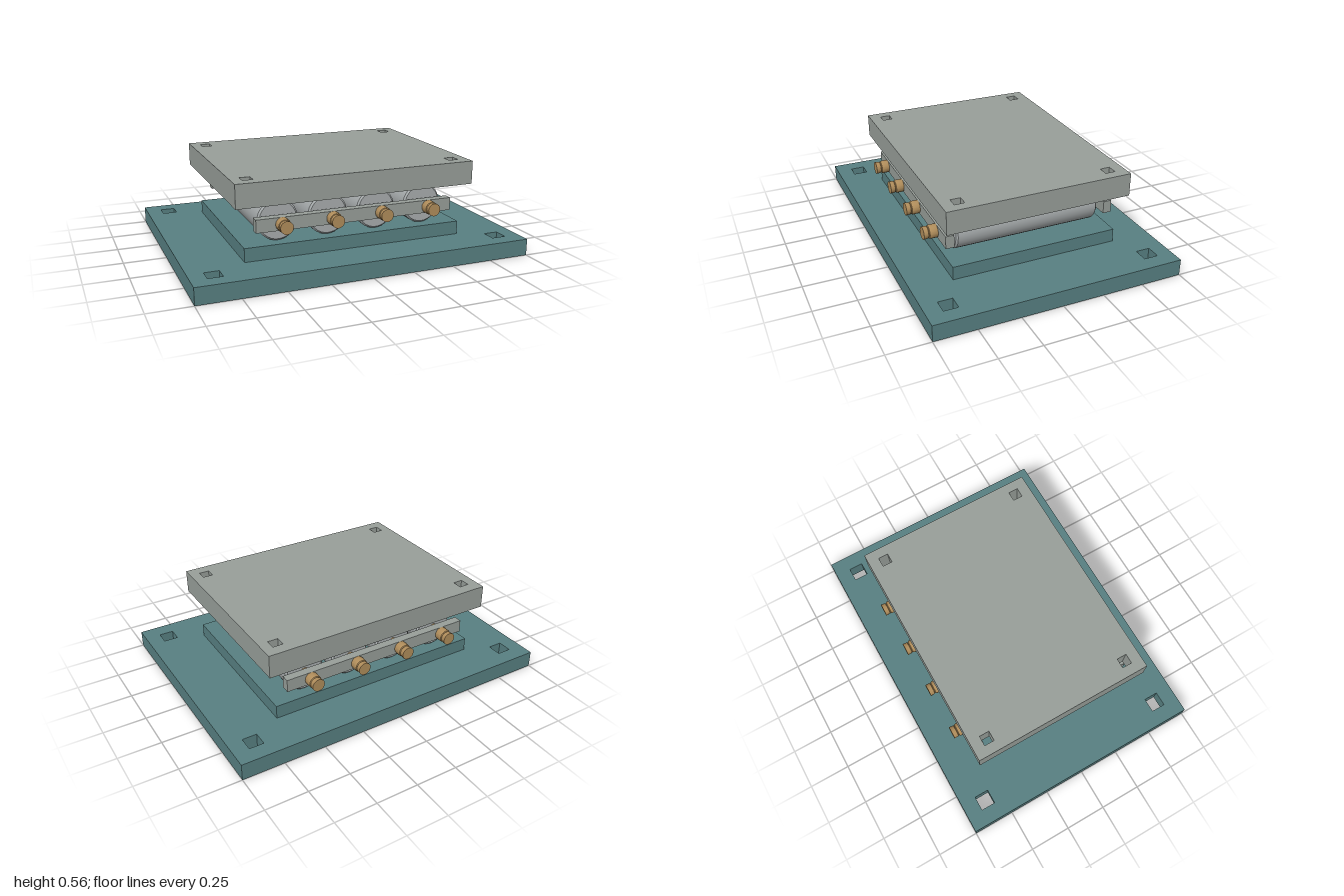
import * as THREE from 'three';
import { toCreasedNormals } from 'three/addons/utils/BufferGeometryUtils.js';

const paint = (color) => new THREE.MeshStandardMaterial({ color });

// Horizontal plate with four square corner holes, rising from y
function plate(name, w, d, h, y, hx, hz, size, material) {
  const rect = (path, cx, cy, a, b) => {
    path.moveTo(cx - a, cy - b);
    path.lineTo(cx + a, cy - b);
    path.lineTo(cx + a, cy + b);
    path.lineTo(cx - a, cy + b);
    path.closePath();
    return path;
  };
  const shape = rect(new THREE.Shape(), 0, 0, w / 2, d / 2);
  for (const sx of [-1, 1]) for (const sz of [-1, 1]) {
    shape.holes.push(rect(new THREE.Path(), sx * hx, sz * hz, size / 2, size / 2));
  }
  const geo = new THREE.ExtrudeGeometry(shape, { depth: h, bevelEnabled: false });
  geo.rotateX(-Math.PI / 2);
  const mesh = new THREE.Mesh(geo, material);
  mesh.name = name;
  mesh.position.y = y;
  return mesh;
}

function box(name, w, h, d, y, z, material) {
  const mesh = new THREE.Mesh(new THREE.BoxGeometry(w, h, d), material);
  mesh.name = name;
  mesh.position.set(0, y, z);
  return mesh;
}

// Turned part along +z from [radius, z] points
function turned(name, points, sides, material) {
  const lathe = new THREE.LatheGeometry(points.map(([r, z]) => new THREE.Vector2(r, z)), sides);
  lathe.rotateX(Math.PI / 2);
  const mesh = new THREE.Mesh(toCreasedNormals(lathe, 0.5), material);
  mesh.name = name;
  return mesh;
}

export function createModel() {
  const model = new THREE.Group();
  model.name = 'rollerBearing';
  const teal = paint(0x588082);
  const grey = paint(0x989f9a);
  const steel = paint(0xa8adae);
  const brass = paint(0xb08d5b);

  // Base with raised pad, and the carried plate
  model.add(plate('basePlate', 2, 1.5, 0.1, 0, 0.865, 0.612, 0.086, teal));
  model.add(box('rollerPad', 1.33, 0.08, 1.01, 0.14, 0, teal));
  model.add(plate('topPlate', 1.44, 1.11, 0.138, 0.42, 0.63, 0.457, 0.06, grey));

  // Side bars linking the axles
  for (const s of [-1, 1]) {
    model.add(box(s > 0 ? 'frontSideBar' : 'backSideBar', 1.2, 0.076, 0.05, 0.3, s * 0.493, grey));
  }

  // Rollers with axle ends and turned nuts
  const rollerProfile = [[0, -0.443], [0.11, -0.443], [0.12, -0.433], [0.12, 0.433], [0.11, 0.443], [0, 0.443]];
  const nutProfile = [[0, 0.515], [0.037, 0.515], [0.04, 0.522], [0.04, 0.558], [0.037, 0.565],
    [0.031, 0.568], [0.036, 0.573], [0.038, 0.6], [0, 0.6]];
  for (const x of [-0.45, -0.15, 0.15, 0.45]) {
    const unit = new THREE.Group();
    unit.name = 'rollerUnit';
    unit.position.set(x, 0.3, 0);
    unit.add(turned('roller', rollerProfile, 32, steel));
    unit.add(turned('axle', [[0, -0.52], [0.025, -0.52], [0.025, 0.52], [0, 0.52]], 20, brass));
    for (const angle of [0, Math.PI]) {
      const nut = turned('axleNut', nutProfile, 16, brass);
      nut.rotation.y = angle;
      unit.add(nut);
    }
    model.add(unit);
  }
  return model;
}
